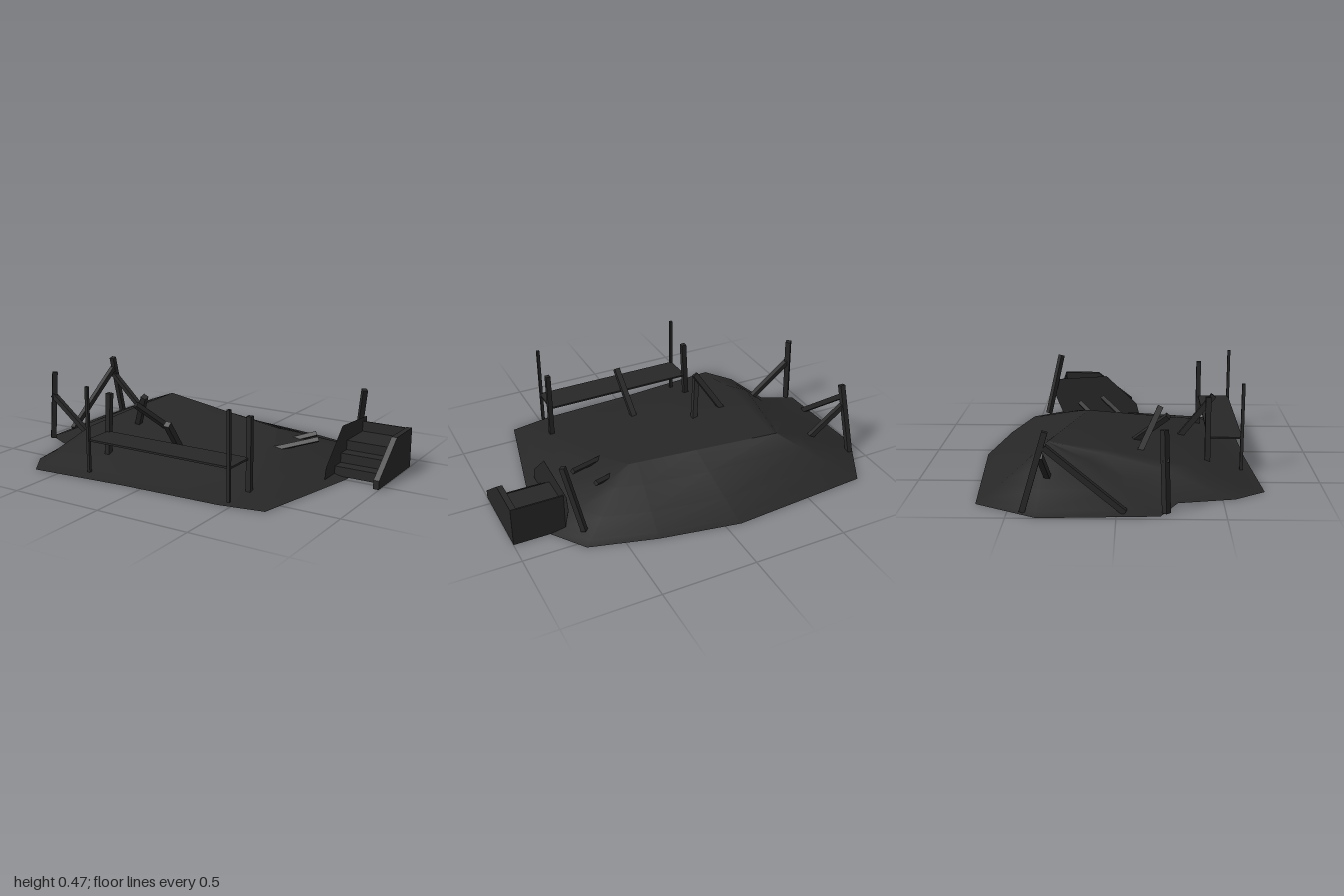
import * as THREE from 'three';

export function createModel() {
  const model = new THREE.Group();
  const charcoal = new THREE.MeshStandardMaterial({ color: 0x272727, side: THREE.DoubleSide });
  charcoal.name = 'charcoal';

  const add = (name, geometry, x = 0, y = 0, z = 0) => {
    const mesh = new THREE.Mesh(geometry, charcoal);
    mesh.name = name;
    mesh.position.set(x, y, z);
    model.add(mesh);
    return mesh;
  };

  // Square timber running between two end points, optionally twisted about its length
  const beam = (name, from, to, width, twist = 0) => {
    const a = new THREE.Vector3(...from), b = new THREE.Vector3(...to);
    const dir = b.clone().sub(a);
    const geometry = new THREE.BoxGeometry(width, dir.length(), width).rotateY(twist);
    const mesh = add(name, geometry);
    mesh.position.copy(a).add(b).multiplyScalar(0.5);
    mesh.quaternion.setFromUnitVectors(new THREE.Vector3(0, 1, 0), dir.normalize());
  };

  // Flat sheet seen from the side; points are [z, y], thickness runs along x
  const sidePanel = (name, points, x, thickness) => {
    const shape = new THREE.Shape(points.map(([z, y]) => new THREE.Vector2(-z, y)));
    const geometry = new THREE.ExtrudeGeometry(shape, { depth: thickness, bevelEnabled: false });
    geometry.rotateY(Math.PI / 2);
    add(name, geometry, x);
  };

  // Hollow earth mound: rings drawn in from an uneven outline to a ridge.
  // Each slope lists its share of the ridge height at every ring.
  const insets = [0, 0.1, 0.35, 0.7, 1];
  const swell = [0, 0.11, 0.56, 0.82, 1];
  const even = [0, 0.08, 0.35, 0.72, 1];
  const steep = [0, 0.06, 0.31, 0.68, 1];
  const gully = [0, 0.02, 0.27, 0.66, 1];
  const outline = [
    [-1, -0.36, even], [-0.97, 0.2, even], [-0.8, 0.285, even], [-0.745, 0.56, swell],
    [-0.64, 0.71, swell], [-0.1, 0.668, swell], [0.44, 0.648, gully], [0.67, 0.608, gully],
    [0.8, 0, steep], [0.81, -0.37, even], [0.685, -0.545, even], [0.34, -0.64, steep],
    [-0.08, -0.715, steep], [-0.83, -0.66, steep],
  ];
  const positions = [], indices = [], n = outline.length;
  insets.forEach((t, r) => {
    for (const [x, z, slope] of outline) {
      const rx = THREE.MathUtils.clamp(x * 0.75, -0.5, 0.3);
      const rz = -0.35 + (rx + 0.5) * 0.2;
      const height = 0.205 - (rx + 0.5) * 0.07;
      positions.push(
        THREE.MathUtils.lerp(x, rx, t),
        height * slope[r],
        THREE.MathUtils.lerp(z, rz, t),
      );
    }
  });
  for (let r = 0; r < insets.length - 1; r++) {
    for (let i = 0; i < n; i++) {
      const a = r * n + i, b = r * n + (i + 1) % n;
      indices.push(a, b, b + n, a, b + n, a + n);
    }
  }
  const mound = new THREE.BufferGeometry();
  mound.setAttribute('position', new THREE.Float32BufferAttribute(positions, 3));
  mound.setIndex(indices);
  mound.computeVertexNormals();
  add('mound', mound);

  // Shelf on four posts
  add('shelfBoard', new THREE.BoxGeometry(0.85, 0.01, 0.175), 0.068, 0.184, 0.538);
  for (const x of [-0.35, 0.484]) {
    beam('shelfFrontPost', [x, 0.015, 0.624], [x, 0.465, 0.624], 0.016);
  }
  beam('shelfBackPost', [-0.365, 0.01, 0.45], [-0.343, 0.395, 0.45], 0.028);
  beam('shelfBackPost', [0.495, 0.005, 0.45], [0.495, 0.395, 0.45], 0.026);

  // Braced posts at the right edge
  beam('frontCornerPost', [-0.938, 0.005, 0.228], [-0.918, 0.392, 0.215], 0.029, Math.PI / 4);
  beam('frontCornerBrace', [-0.93, 0.26, 0.222], [-0.67, 0.055, 0.222], 0.028);
  beam('rearCornerPost', [-0.935, 0.005, -0.43], [-0.92, 0.38, -0.32], 0.028);
  beam('rearCornerSideBrace', [-0.925, 0.31, -0.325], [-0.945, 0.01, 0.04], 0.028);
  beam('rearCornerInnerBrace', [-0.93, 0.27, -0.345], [-0.69, 0.065, -0.325], 0.028);

  // Leaning stakes driven into the mound
  beam('crossedStake', [-0.205, 0.1, 0.045], [-0.325, 0.29, 0.25], 0.028);
  beam('crossedStake', [-0.455, 0.07, 0.075], [-0.295, 0.33, 0.21], 0.03);
  beam('frontStake', [0.035, 0.06, 0.31], [0.058, 0.302, 0.508], 0.031);
  beam('rearStake', [0.66, 0.03, -0.452], [0.725, 0.38, -0.375], 0.027, Math.PI / 4);

  // Half-buried planks
  beam('buriedPlank', [0.3, 0.07, 0.05], [0.585, 0.148, -0.12], 0.023);
  beam('buriedPlank', [0.33, 0.08, -0.14], [0.51, 0.135, -0.25], 0.023);

  // Steps: treads and risers, with a back wall rising above the top tread
  const steps = [[0.155, -0.37, -0.16], [0.105, -0.16, -0.09], [0.055, -0.09, -0.02]];
  for (const [y, z0, z1] of steps) {
    add('tread', new THREE.BoxGeometry(0.25, 0.01, z1 - z0), 0.852, y - 0.005, (z0 + z1) / 2);
    add('riser', new THREE.BoxGeometry(0.25, 0.05, 0.008), 0.852, y - 0.025, z1 - 0.004);
  }
  add('stairBack', new THREE.BoxGeometry(0.25, 0.21, 0.008), 0.852, 0.105, -0.366);

  // Stair sides: a thick outer one and a taller thin inner one
  sidePanel('outerStairSide', [
    [0.055, 0], [0.055, 0.045], [-0.16, 0.213], [-0.37, 0.213], [-0.37, 0],
  ], 0.97, 0.03);
  sidePanel('innerStairSide', [
    [0.1, 0.015], [0.085, 0.075], [-0.1, 0.248], [-0.41, 0.228], [-0.43, 0.16], [-0.37, 0.015],
  ], 0.727, 0.001);

  return model;
}
